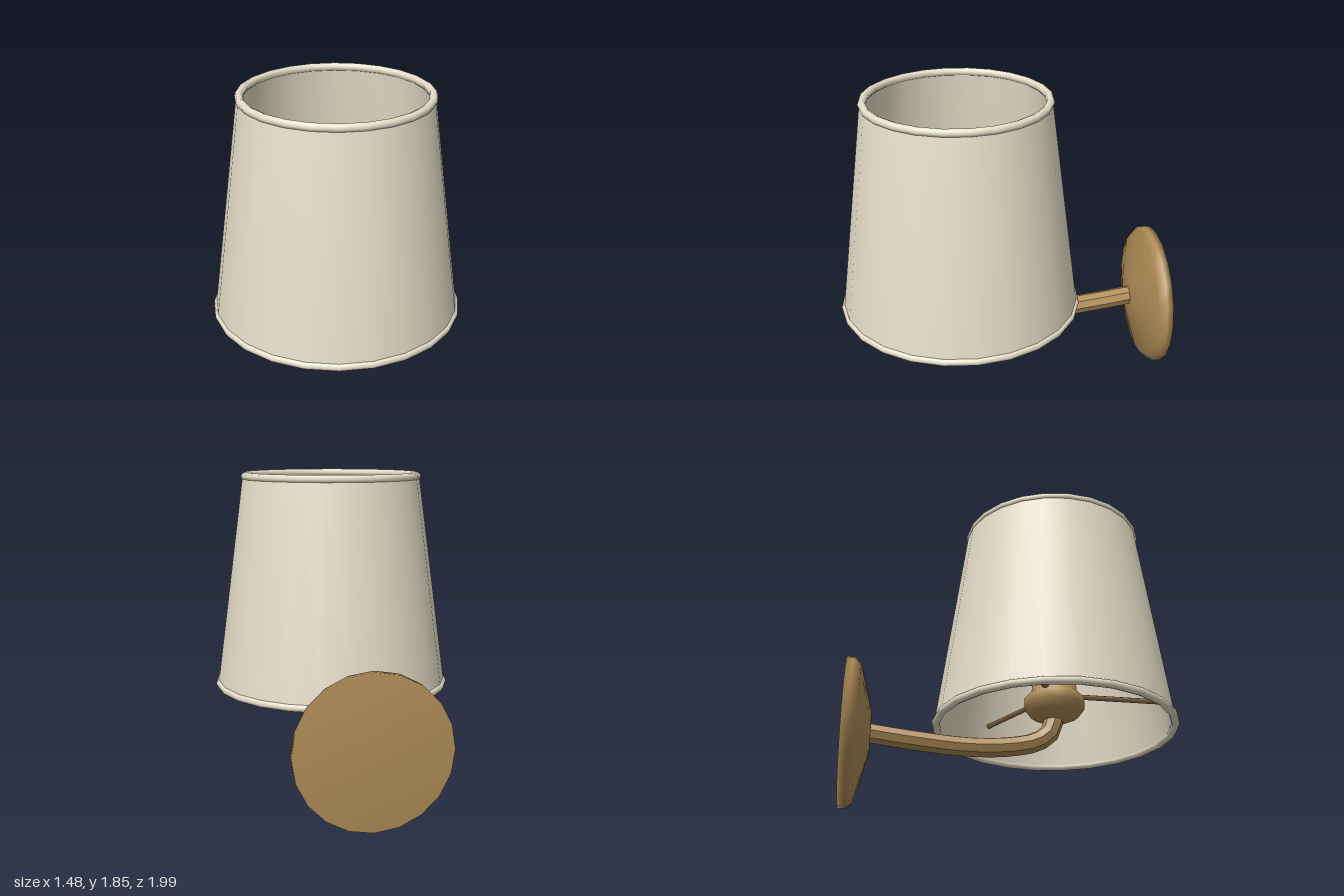
import * as THREE from 'three';

const CX = 0.25; // z of the shade axis
const brass = new THREE.MeshStandardMaterial({ color: 0xb08d57 });
const brassFlat = new THREE.MeshStandardMaterial({ color: 0xb08d57, flatShading: true });
const darkBrass = new THREE.MeshStandardMaterial({ color: 0x8a6d48 });
const linen = new THREE.MeshStandardMaterial({ color: 0xe8dfca, side: THREE.DoubleSide });
const glass = new THREE.MeshStandardMaterial({ color: 0xf3e8cc });

const lathe = (pts, sides) =>
  new THREE.LatheGeometry(pts.map(([r, y]) => new THREE.Vector2(r, y)), sides);

export function createModel() {
  const group = new THREE.Group();
  const add = (name, geometry, material, x = 0, y = 0, z = 0) => {
    const mesh = new THREE.Mesh(geometry, material);
    mesh.name = name;
    mesh.position.set(x, y, z);
    group.add(mesh);
    return mesh;
  };

  // Wall plate: shallow dome facing forward
  const plate = lathe([[0, 0], [0.44, 0], [0.44, 0.04], [0.4, 0.085], [0.12, 0.16], [0, 0.16]], 20);
  plate.rotateX(Math.PI / 2);
  add('wallPlate', plate, brass, 0, 0.445, -1);

  // Curved arm from the plate to the holder
  const path = new THREE.CatmullRomCurve3([
    [-0.9, 0.45], [-0.6, 0.415], [-0.27, 0.39], [-0.02, 0.405], [0.14, 0.445], [0.22, 0.51], [0.25, 0.64],
  ].map(([z, y]) => new THREE.Vector3(0, y, z)));
  add('arm', new THREE.TubeGeometry(path, 18, 0.06, 8), brassFlat);

  // Lamp holder: rounded cup with a neck
  add('lampHolder', lathe([
    [0, 0.58], [0.08, 0.585], [0.15, 0.62], [0.185, 0.67], [0.185, 0.72],
    [0.14, 0.765], [0.135, 0.85], [0, 0.85],
  ], 14), brass, 0, 0, CX);

  // Globe bulb
  const bulb = Array.from({ length: 11 }, (_, i) => {
    const a = (i / 10 - 0.5) * Math.PI;
    return [0.215 * Math.cos(a), 0.215 * Math.sin(a)];
  });
  add('bulb', lathe(bulb, 10), glass, 0, 1.01, CX);

  // Three struts that carry the shade
  for (let i = 0; i < 3; i++) {
    const strut = new THREE.CylinderGeometry(0.017, 0.017, 0.66, 6);
    strut.rotateX(Math.PI / 2).translate(0, 0, 0.33);
    add('shadeStrut', strut, darkBrass, 0, 0.75, CX).rotation.y = (i * Math.PI * 2) / 3;
  }

  // Tapered shade with thin walls
  add('shade', lathe([
    [0.695, 0.53], [0.725, 0.53], [0.548, 1.83], [0.52, 1.83], [0.695, 0.53],
  ], 24), linen, 0, 0, CX);

  // Rolled rims
  for (const [name, radius, y] of [['topRim', 0.534, 1.832], ['bottomRim', 0.715, 0.535]]) {
    const rim = new THREE.TorusGeometry(radius, 0.024, 8, 24);
    rim.rotateX(Math.PI / 2).rotateY(Math.PI / 2);
    add(name, rim, linen, 0, y, CX);
  }

  return group;
}
